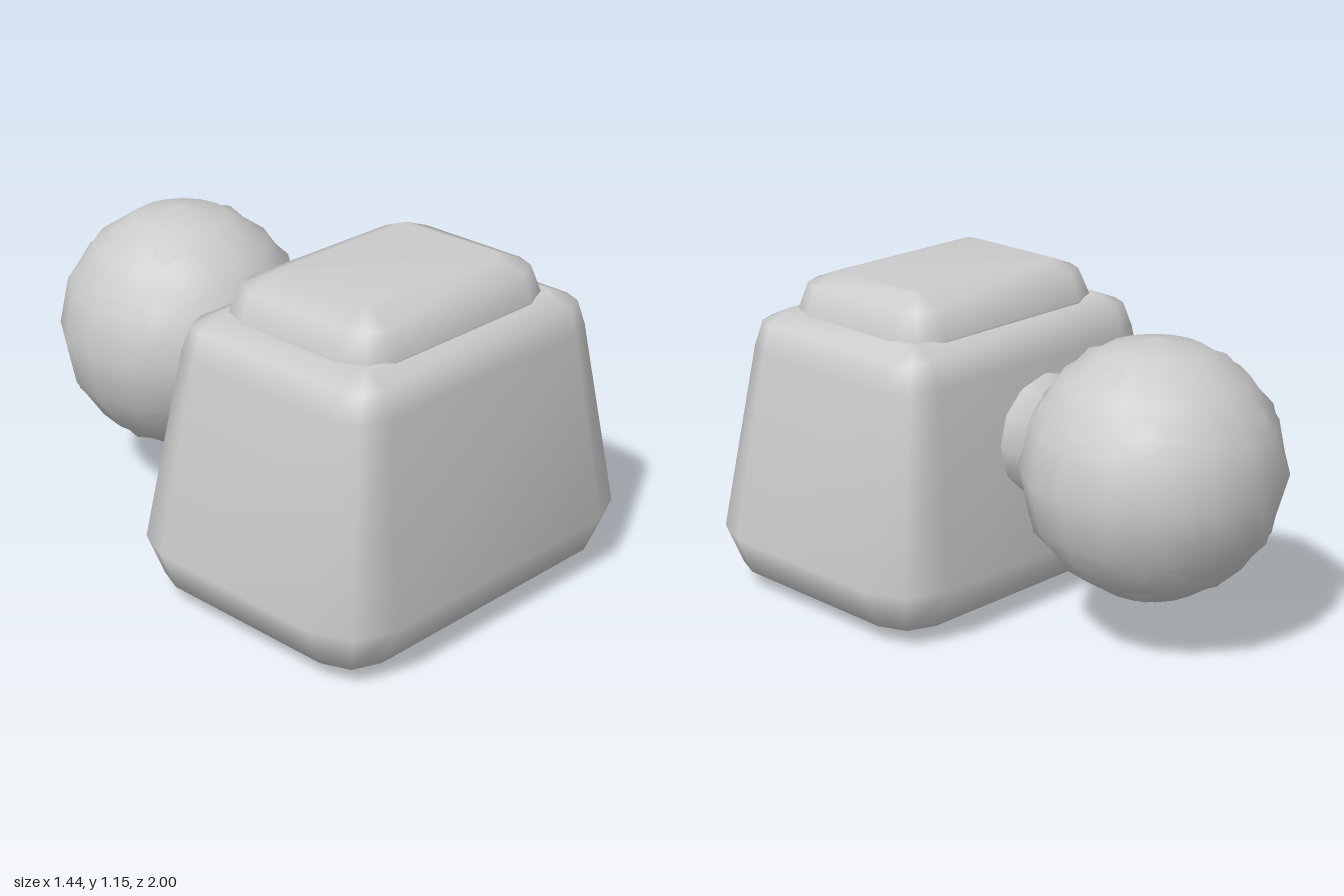
import * as THREE from 'three';

const material = new THREE.MeshStandardMaterial({ color: 0xcccccc });

// Outline of a rounded rectangle: three points on each corner
function ring([y, hx, z0, z1, r]) {
  const pts = [];
  const corners = [[1, 1, 0], [-1, 1, 1], [-1, -1, 2], [1, -1, 3]];
  for (const [sx, sz, q] of corners) {
    const cx = sx * (hx - r);
    const cz = sz > 0 ? z1 - r : z0 + r;
    for (let i = 0; i < 3; i++) {
      const a = (q + i / 2) * Math.PI / 2;
      pts.push([cx + r * Math.cos(a), y, cz + r * Math.sin(a)]);
    }
  }
  return pts;
}

// Closed soft block lofted through sections [y, halfWidth, zBack, zFront, cornerRadius]
function softBlock(name, sections) {
  const pos = [], index = [], n = 12;
  for (const s of sections) for (const p of ring(s)) pos.push(...p);
  for (let k = 0; k < sections.length - 1; k++) {
    for (let i = 0; i < n; i++) {
      const a = k * n + i, b = k * n + (i + 1) % n;
      index.push(a, a + n, b, b, a + n, b + n);
    }
  }
  // Flat bottom and top
  const top = (sections.length - 1) * n;
  for (let i = 1; i < n - 1; i++) {
    index.push(0, i, i + 1);
    index.push(top, top + i + 1, top + i);
  }
  const g = new THREE.BufferGeometry();
  g.setAttribute('position', new THREE.Float32BufferAttribute(pos, 3));
  g.setIndex(index);
  g.computeVertexNormals();
  return part(name, g);
}

function part(name, geometry) {
  const mesh = new THREE.Mesh(geometry, material);
  mesh.name = name;
  return mesh;
}

export function createModel() {
  const model = new THREE.Group();
  model.name = 'taperedBlockWithBall';

  // Tapered body with rounded edges
  model.add(softBlock('body', [
    [0, 0.51, 0.13, 0.79, 0.02],
    [0.065, 0.66, -0.02, 0.94, 0.14],
    [0.21, 0.72, -0.08, 1.0, 0.2],
    [0.89, 0.595, 0.015, 0.9, 0.14],
    [0.98, 0.555, 0.045, 0.875, 0.1],
    [1.02, 0.46, 0.13, 0.79, 0.02],
  ]));

  // Raised pad on top
  model.add(softBlock('topPad', [
    [0.98, 0.465, 0.11, 0.805, 0.135],
    [1.02, 0.465, 0.11, 0.805, 0.135],
    [1.115, 0.427, 0.15, 0.77, 0.1],
    [1.155, 0.33, 0.245, 0.67, 0.02],
  ]));

  // Short round neck, bevelled where it enters the body
  const profile = [[0, -0.2], [0.22, -0.2], [0.22, -0.04], [0.18, 0.005], [0, 0.06]]
    .map(([r, z]) => new THREE.Vector2(r, z));
  const neck = part('neck', new THREE.LatheGeometry(profile, 12).rotateX(Math.PI / 2));
  neck.position.y = 0.64;
  model.add(neck);

  // Ball, with a coarser core whose corners just break the surface
  const ball = new THREE.Group();
  ball.name = 'ball';
  ball.position.set(0, 0.64, -0.54);
  ball.add(part('ballShell', new THREE.SphereGeometry(0.45, 16, 8)));
  const core = new THREE.IcosahedronGeometry(0.456, 1);
  core.rotateZ(-Math.atan(2 / (1 + Math.sqrt(5))));
  ball.add(part('ballCore', core));
  model.add(ball);

  return model;
}
